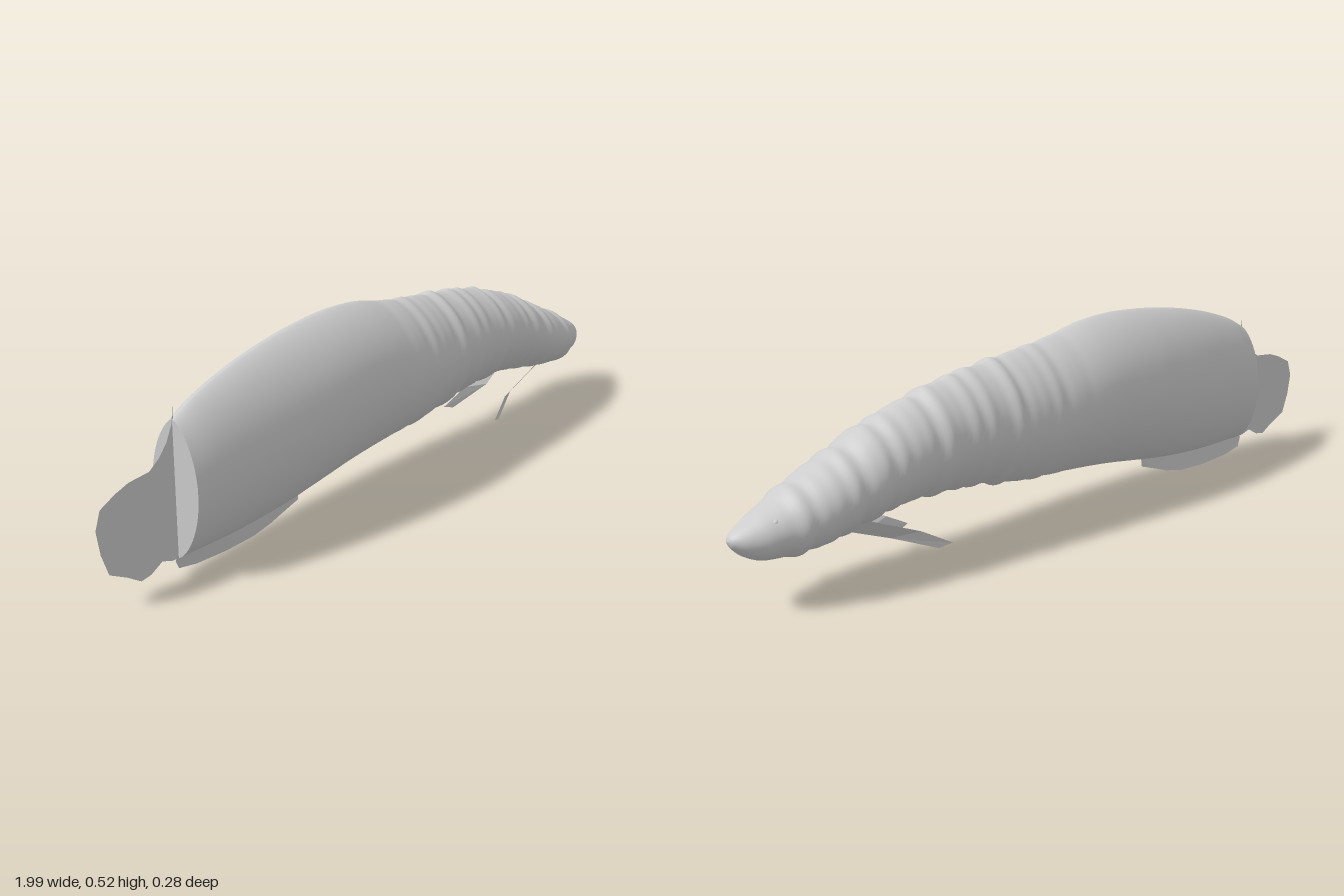
import * as THREE from 'three';

const skin = new THREE.MeshStandardMaterial({ color: 0xcccccc });
skin.name = 'paleGreySkin';
const finSkin = new THREE.MeshStandardMaterial({ color: 0xcccccc, side: THREE.DoubleSide });
finSkin.name = 'paleGreyFin';

// Body stations: x, top y, bottom y, half width
const STATIONS = [
  [-0.765, 0.39, 0.05, 0.072], [-0.7, 0.425, 0.05, 0.086], [-0.6, 0.46, 0.05, 0.103],
  [-0.5, 0.485, 0.055, 0.117], [-0.4, 0.503, 0.065, 0.128], [-0.3, 0.515, 0.08, 0.136],
  [-0.2, 0.52, 0.095, 0.139], [-0.1, 0.513, 0.106, 0.14], [0, 0.492, 0.114, 0.137],
  [0.1, 0.478, 0.12, 0.133], [0.2, 0.467, 0.134, 0.127], [0.3, 0.455, 0.15, 0.121],
  [0.4, 0.438, 0.156, 0.116], [0.5, 0.41, 0.16, 0.112], [0.6, 0.378, 0.148, 0.112],
  [0.7, 0.332, 0.13, 0.108], [0.8, 0.288, 0.115, 0.099], [0.9, 0.24, 0.12, 0.068],
  [0.95, 0.215, 0.14, 0.044], [0.978, 0.198, 0.166, 0.02], [0.987, 0.185, 0.184, 0.001],
];
const SIDES = 48, RINGS = 240;

// Skin folds grow from the middle of the body and fade at the snout
function fold(x) {
  const fade = THREE.MathUtils.smoothstep(x, -0.08, 0.2) * (1 - THREE.MathUtils.smoothstep(x, 0.78, 0.95));
  return fade * (0.0025 * Math.sin(x * 92) + 0.002 * Math.sin(x * 61 + 1) + 0.0015 * Math.sin(x * 143 + 2));
}

function bodyGeometry() {
  const height = new THREE.CatmullRomCurve3(STATIONS.map(s => new THREE.Vector3(s[0], s[1], s[2])), false, 'catmullrom', 0.5);
  const width = new THREE.CatmullRomCurve3(STATIONS.map(s => new THREE.Vector3(s[0], s[3], 0)), false, 'catmullrom', 0.5);
  const pos = [], index = [];
  for (let i = 0; i <= RINGS; i++) {
    const h = height.getPoint(i / RINGS), w = width.getPoint(i / RINGS).y;
    const f = fold(h.x), mid = (h.y + h.z) / 2, half = (h.y - h.z) / 2 + f;
    // Keeled lens section, rounder towards the head
    const power = THREE.MathUtils.lerp(1.4, 1.1, THREE.MathUtils.smoothstep(h.x, 0.2, 0.85));
    for (let j = 0; j < SIDES; j++) {
      const a = (j / SIDES) * Math.PI * 2, c = Math.cos(a);
      pos.push(h.x, mid + half * Math.sin(a), Math.sign(c) * Math.abs(c) ** power * (w + f));
    }
  }
  for (let i = 0; i < RINGS; i++) {
    for (let j = 0; j < SIDES; j++) {
      const k = (j + 1) % SIDES, a = i * SIDES, b = a + SIDES;
      index.push(a + j, b + j, b + k, a + j, b + k, a + k);
    }
  }
  const geo = new THREE.BufferGeometry();
  geo.setAttribute('position', new THREE.Float32BufferAttribute(pos, 3));
  geo.setIndex(index);
  geo.computeVertexNormals();
  return geo;
}

// Flat end wall closing the rear of the body
function rearCapGeometry(body) {
  const p = body.attributes.position, pos = [];
  for (let j = 0; j < SIDES; j++) {
    const k = (j + 1) % SIDES;
    pos.push(p.getX(0), 0.22, 0);
    for (const n of [j, k]) pos.push(p.getX(n), p.getY(n), p.getZ(n));
  }
  const geo = new THREE.BufferGeometry();
  geo.setAttribute('position', new THREE.Float32BufferAttribute(pos, 3));
  geo.computeVertexNormals();
  return geo;
}

// Upright membrane in the middle plane, bent sideways by a rule
function membrane(points, bend) {
  const geo = new THREE.ShapeGeometry(new THREE.Shape(points.map(p => new THREE.Vector2(...p))));
  const p = geo.attributes.position;
  for (let i = 0; i < p.count; i++) p.setZ(i, bend(p.getX(i), p.getY(i)));
  geo.computeVertexNormals();
  return geo;
}

// Folded blade: pairs of upper and lower edge points, root to tip
function bladeGeometry(side) {
  const edges = [
    [0.66, 0.172, 0.085], [0.74, 0.165, 0.06],
    [0.5, 0.1, 0.07], [0.575, 0.095, 0.043],
    [0.42, 0.055, 0.09], [0.455, 0.047, 0.08],
  ];
  const geo = new THREE.BufferGeometry();
  geo.setAttribute('position', new THREE.Float32BufferAttribute(edges.flatMap(([x, y, z]) => [x, y, z * side]), 3));
  geo.setIndex([0, 2, 1, 1, 2, 3, 2, 4, 3, 3, 4, 5]);
  const flat = geo.toNonIndexed();
  flat.computeVertexNormals();
  return flat;
}

export function createModel() {
  const model = new THREE.Group();
  model.name = 'fish';
  const add = (name, geo, mat) => {
    const mesh = new THREE.Mesh(geo, mat);
    mesh.name = name;
    model.add(mesh);
    return mesh;
  };

  const body = bodyGeometry();
  add('body', body, skin);
  add('rearWall', rearCapGeometry(body), skin);

  add('tailFin', membrane([
    [-0.762, 0.42], [-0.767, 0.38], [-0.785, 0.34], [-0.81, 0.31], [-0.84, 0.288], [-0.9, 0.282],
    [-0.94, 0.268], [-0.985, 0.245], [-1, 0.2], [-0.99, 0.14], [-0.97, 0.085], [-0.92, 0.06],
    [-0.88, 0.035], [-0.85, 0.04], [-0.815, 0.06], [-0.785, 0.05], [-0.762, 0.05],
  ], x => (x + 0.76) * 0.03), finSkin);

  add('analFin', membrane([
    [-0.765, 0.06], [-0.775, 0.045], [-0.76, 0.02], [-0.7, 0.008], [-0.6, 0.002], [-0.5, 0.005], [-0.44, 0.018],
    [-0.4, 0.032], [-0.345, 0.05], [-0.34, 0.085], [-0.5, 0.065],
  ], (x, y) => -0.01 * (1 - Math.min(y / 0.05, 1))), finSkin);

  // Mirrored lower fins and small eye bumps
  for (const [side, label] of [[1, 'Front'], [-1, 'Back']]) {
    add('lowerFin' + label, bladeGeometry(side), finSkin);
    add('eye' + label, new THREE.SphereGeometry(0.01, 16, 12), skin).position.set(0.888, 0.217, side * 0.046);
  }
  return model;
}
